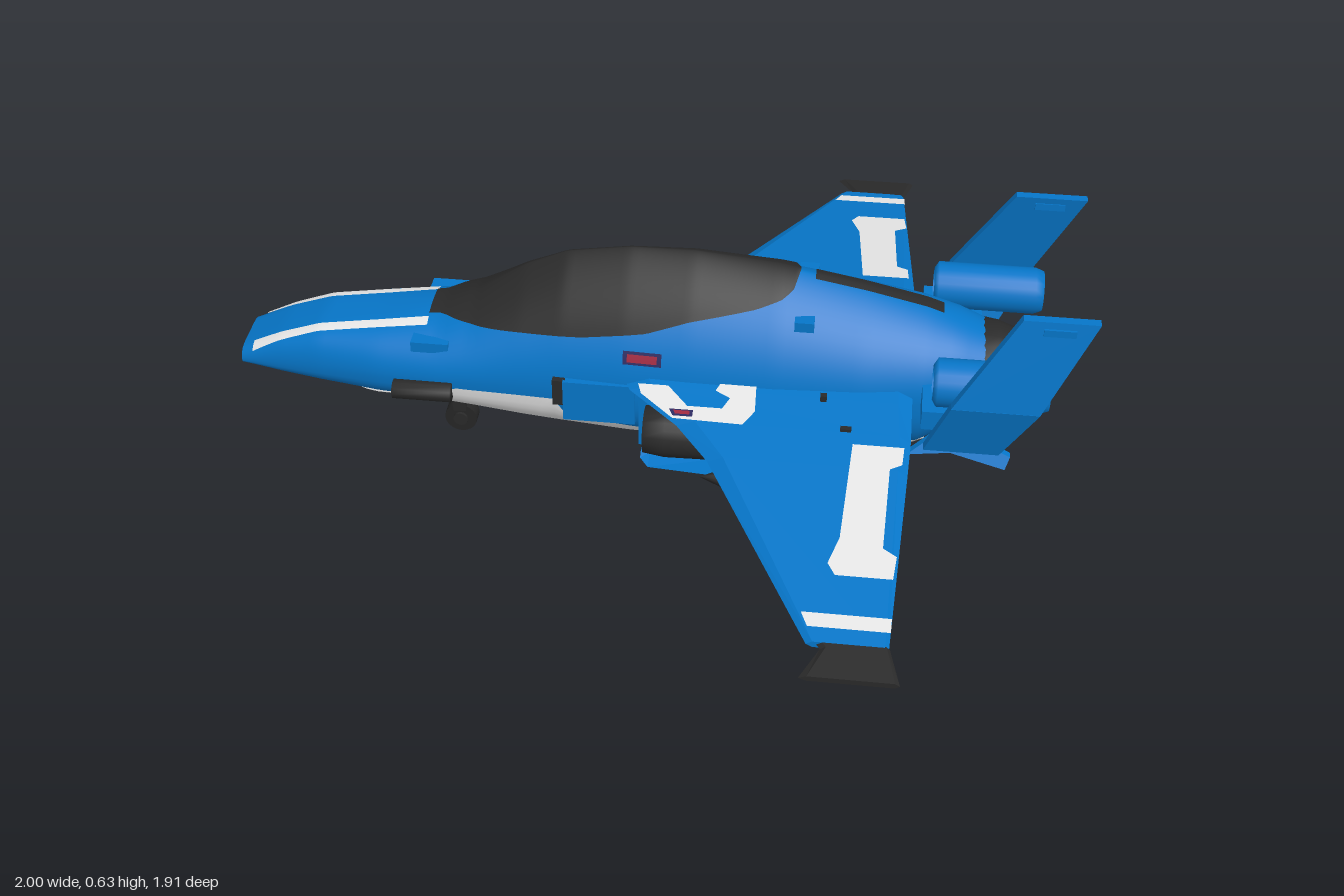
import * as THREE from 'three';

const mat = (name, color, side = THREE.FrontSide) => {
  const m = new THREE.MeshStandardMaterial({ color, side });
  m.name = name;
  return m;
};

// Hull stations: x, bottom y, widest y, top y, half width, upper roundness (below 1 boxy, above 1 peaked)
const HULL = [
  [-1, 0.2, 0.22, 0.25, 0.08, 0.35], [-0.9, 0.18, 0.23, 0.295, 0.1, 0.35], [-0.8, 0.168, 0.24, 0.33, 0.12, 0.45],
  [-0.65, 0.155, 0.25, 0.355, 0.145, 0.65], [-0.5, 0.152, 0.26, 0.385, 0.16, 1], [-0.42, 0.14, 0.265, 0.42, 0.165, 1.2],
  [-0.3, 0.12, 0.27, 0.5, 0.17, 1.6], [-0.2, 0.11, 0.27, 0.545, 0.175, 1.7], [-0.05, 0.1, 0.27, 0.568, 0.185, 1.7],
  [0.1, 0.096, 0.27, 0.57, 0.19, 1.6], [0.3, 0.096, 0.28, 0.55, 0.19, 1.5], [0.5, 0.1, 0.29, 0.51, 0.18, 1.4],
  [0.64, 0.11, 0.3, 0.475, 0.16, 1.2], [0.72, 0.16, 0.31, 0.445, 0.135, 1], [0.78, 0.2, 0.31, 0.42, 0.115, 1],
];
const FLAT = 0.75; // flattening of the underside
// Linear lookup in a table of rows starting with x
function lookup(table, x, c) {
  let i = 1;
  while (i < table.length - 1 && x > table[i][0]) i++;
  const a = table[i - 1], b = table[i];
  return THREE.MathUtils.lerp(a[c], b[c], THREE.MathUtils.clamp((x - a[0]) / (b[0] - a[0]), 0, 1));
}
const hull = (x, c) => lookup(HULL, x, c);
function hullPoint(x, a, off = 0) {
  const ym = hull(x, 2), s = Math.sin(a), c = Math.cos(a);
  const wide = Math.sign(c) * Math.abs(c) ** (s > 0 ? hull(x, 5) : 1.1);
  const y = s > 0 ? (hull(x, 3) - ym + off) * s : -(ym - hull(x, 1) + off) * (-s) ** FLAT;
  return [x, ym + y, (hull(x, 4) + off) * wide];
}
function angleAtY(x, y) {
  const ym = hull(x, 2);
  return y > ym ? Math.asin(Math.min(1, (y - ym) / (hull(x, 3) - ym)))
    : -Math.asin(Math.min(1, (ym - y) / (ym - hull(x, 1))) ** (1 / FLAT));
}
const angleAtZ = (x, z) => Math.acos(Math.min(1, z / hull(x, 4)) ** (1 / hull(x, 5)));

// Grid surface from fn(u, v)
function surface(nu, nv, fn) {
  const p = [], idx = [];
  for (let i = 0; i <= nu; i++) for (let j = 0; j <= nv; j++) p.push(...fn(i / nu, j / nv));
  for (let i = 0; i < nu; i++) for (let j = 0; j < nv; j++) {
    const a = i * (nv + 1) + j, b = a + nv + 1;
    idx.push(a, b, b + 1, a, b + 1, a + 1);
  }
  const g = new THREE.BufferGeometry();
  g.setAttribute('position', new THREE.Float32BufferAttribute(p, 3));
  g.setIndex(idx);
  g.computeVertexNormals();
  return g;
}
// Painted area lying on the hull between two angles
const patch = (x0, x1, lo, hi, off = 0.005, nu = 48, nv = 24) => surface(nu, nv, (u, v) => {
  const x = x0 + (x1 - x0) * u;
  return hullPoint(x, lo(x) + (hi(x) - lo(x)) * v, off);
});

// Reflected copy across z = 0 with corrected winding
function mirrored(geo) {
  const g = geo.index ? geo.toNonIndexed() : geo.clone();
  g.scale(1, 1, -1);
  for (const key of ['position', 'normal']) {
    const a = g.attributes[key].array;
    for (let i = 0; i < a.length; i += 9) for (let k = 0; k < 3; k++) {
      [a[i + 3 + k], a[i + 6 + k]] = [a[i + 6 + k], a[i + 3 + k]];
    }
  }
  return g;
}

// Wing: span position, leading edge, trailing edge; height and half thickness by rule
const WING = [[0.1, -0.08, 0.62], [0.2, -0.03, 0.62], [0.3, 0.09, 0.62], [0.4, 0.17, 0.615], [0.87, 0.42, 0.59]];
const wingY = z => 0.325 - (z - 0.1) * 0.145;
const wingT = z => 0.02 - (z - 0.1) * 0.016;
const sectionU = [0, 0.08, 0.95, 1, 0.95, 0.08, 0], sectionH = [0, 1, 1, 0, -1, -1, 0];
function wingLoft(rows) {
  const g = surface(rows.length + 1, 6, (u, v) => {
    const k = Math.round(u * (rows.length + 1)) - 1, end = k < 0 || k >= rows.length;
    const [z, a, b] = rows[THREE.MathUtils.clamp(k, 0, rows.length - 1)], j = Math.round(v * 6);
    return [a + (b - a) * (end ? 0.5 : sectionU[j]), wingY(z) + (end ? 0 : sectionH[j] * wingT(z)), z];
  }).toNonIndexed();
  g.computeVertexNormals();
  return g;
}
// Flat painted shape on the wing; side is +1 above and -1 below
function wingDecal(pts, side, lift = 0.003) {
  const g = new THREE.ShapeGeometry(new THREE.Shape(pts.map(p => new THREE.Vector2(...p))));
  const pos = g.attributes.position;
  for (let i = 0; i < pos.count; i++) {
    const z = pos.getY(i);
    pos.setXYZ(i, pos.getX(i), wingY(z) + side * (wingT(z) + lift), z);
  }
  if (side > 0) g.index.array.reverse();
  g.computeVertexNormals();
  return g;
}
const box = (x0, x1, y0, y1, z0, z1) =>
  new THREE.BoxGeometry(x1 - x0, y1 - y0, z1 - z0).translate((x0 + x1) / 2, (y0 + y1) / 2, (z0 + z1) / 2);
// Turned body along x from [x, radius] points
function turned(pts, y, z, n = 20) {
  return new THREE.LatheGeometry(pts.map(p => new THREE.Vector2(p[1], p[0])), n).rotateZ(-Math.PI / 2).translate(0, y, z);
}
// Plate in x-y, thick in z, moved sideways by a rule of height
function plate(pts, t, zAt) {
  const g = new THREE.ExtrudeGeometry(new THREE.Shape(pts.map(p => new THREE.Vector2(...p))), { depth: t, bevelEnabled: false });
  const p = g.attributes.position;
  for (let i = 0; i < p.count; i++) p.setZ(i, p.getZ(i) - t / 2 + zAt(p.getY(i)));
  g.computeVertexNormals();
  return g;
}

export function createModel() {
  const model = new THREE.Group();
  model.name = 'jetFighter';
  const blue = mat('hullBlue', 0x0676c9, THREE.DoubleSide), white = mat('paintWhite', 0xececec, THREE.DoubleSide);
  const dark = mat('darkGrey', 0x2a2a2a, THREE.DoubleSide), black = mat('gearBlack', 0x262626);
  const red = mat('markRed', 0xa02840, THREE.DoubleSide), navy = mat('markNavy', 0x2c2a60, THREE.DoubleSide);
  const glow = mat('exhaustBlue', 0x26394a, THREE.DoubleSide);
  const add = (name, geo, m) => {
    const mesh = new THREE.Mesh(geo, m);
    mesh.name = name;
    model.add(mesh);
  };
  const pair = (name, geo, m) => {
    add(name + 'Left', geo, m);
    add(name + 'Right', mirrored(geo), m);
  };

  // Fuselage with closed nose
  add('fuselage', patch(-1, 0.78, () => -Math.PI / 2, () => Math.PI * 1.5, 0, 89, 64), blue);
  add('noseCap', surface(1, 64, (u, v) => {
    const p = hullPoint(-1, v * Math.PI * 2);
    return [-1, 0.222 + (p[1] - 0.222) * u, p[2] * u];
  }), blue);

  // Canopy and hull paint
  const SILL = [[-0.53, 0.374], [-0.48, 0.382], [-0.4, 0.388], [-0.3, 0.398], [-0.15, 0.408], [0, 0.43], [0.1, 0.46], [0.25, 0.488], [0.31, 0.505], [0.335, 0.52], [0.345, 0.54]];
  const sill = x => angleAtY(x, lookup(SILL, x, 1));
  add('canopy', patch(-0.53, 0.345, sill, x => Math.PI - sill(x), 0.007, 70, 32), dark);
  const BELLY = [[-0.74, 0.17], [-0.62, 0.2], [-0.45, 0.25], [-0.21, 0.25], [-0.19, 0.2], [0, 0.18], [0.66, 0.17]];
  const belly = x => angleAtY(x, lookup(BELLY, x, 1));
  add('bellyPaint', patch(-0.74, 0.66, x => -Math.PI - belly(x), belly, 0.004), white);
  add('noseUnderside', patch(-0.93, -0.5, () => -Math.PI * 0.72, () => -Math.PI * 0.28, 0.006), dark);
  add('spinePanel', patch(0.38, 0.68, x => angleAtZ(x, 0.02), x => Math.PI - angleAtZ(x, 0.02), 0.006, 16, 4), dark);
  pair('noseStripe', patch(-0.97, -0.53, x => angleAtZ(x, 0.079), x => angleAtZ(x, 0.055), 0.003, 40, 8), white);
  pair('sideBadge', patch(-0.05, 0.04, x => angleAtY(x, 0.362), x => angleAtY(x, 0.392), 0.004, 6, 4), navy);
  pair('sideBadgeBar', patch(-0.04, 0.03, x => angleAtY(x, 0.368), x => angleAtY(x, 0.386), 0.007, 6, 4), red);

  // Rear nozzle
  add('nozzle', turned([[0.7, 0.1], [0.77, 0.118], [0.81, 0.112], [0.855, 0.096], [0.85, 0.09], [0.79, 0.095]], 0.305, 0, 24), dark);
  add('exhaustDisc', new THREE.CircleGeometry(0.093, 24).rotateY(Math.PI / 2).translate(0.835, 0.305, 0), glow);

  // Wings, tips and wing paint
  pair('wing', wingLoft(WING), blue);
  pair('wingTip', wingLoft([[0.868, 0.44, 0.592], [0.88, 0.45, 0.595], [0.955, 0.41, 0.615]]), dark);
  const mark = [[0.49, 0.335], [0.605, 0.335], [0.602, 0.385], [0.575, 0.4], [0.568, 0.62], [0.598, 0.64], [0.592, 0.7], [0.47, 0.7], [0.453, 0.67], [0.475, 0.6]];
  const band = [[0.405, 0.8], [0.593, 0.8], [0.592, 0.835], [0.42, 0.835]];
  const curl = [[-0.01, 0.2], [0.0, 0.23], [0.08, 0.298], [0.24, 0.302], [0.265, 0.26], [0.262, 0.18], [0.18, 0.18], [0.17, 0.205], [0.205, 0.225], [0.19, 0.258], [0.11, 0.258], [0.06, 0.2]];
  for (const side of [1, -1]) {
    pair('wingMark', wingDecal(mark, side), white);
    pair('wingBand', wingDecal(band, side), white);
  }
  pair('shoulderMark', wingDecal(curl, 1), white);
  pair('shoulderBadge', wingDecal([[0.07, 0.272], [0.125, 0.272], [0.125, 0.292], [0.08, 0.292]], 1, 0.005), navy);
  pair('shoulderBadgeBar', wingDecal([[0.08, 0.277], [0.118, 0.277], [0.118, 0.288], [0.085, 0.288]], 1, 0.007), red);
  pair('wingLampInner', box(0.41, 0.425, 0.32, 0.342, 0.198, 0.212), dark);
  pair('wingLampOuter', box(0.46, 0.485, 0.3, 0.32, 0.285, 0.298), dark);

  // Intakes, under-wing engines and lower trays
  pair('intakeCheek', box(-0.19, -0.02, 0.2, 0.31, 0.12, 0.19), blue);
  pair('intakeSlot', box(-0.215, -0.185, 0.24, 0.31, 0.14, 0.187), dark);
  pair('intakeBody', box(-0.01, 0.5, 0.15, 0.31, 0.12, 0.2), blue);
  pair('wingEngine', turned([[0.06, 0], [0.02, 0.045], [0.01, 0.055], [0.06, 0.062], [0.3, 0.058], [0.42, 0.04], [0.42, 0]], 0.235, 0.245), dark);
  const tray = surface(5, 4, (u, v) => {
    const k = Math.round(u * 5), j = Math.round(v * 4) % 4, x = [0, 0.02, 0.2, 0.33, 0.45, 0.45][k];
    const edge = [0.25, 0.27, 0.29, 0.385, 0.385, 0.3][k];
    const z = [0.18, 0.225, edge, 0.225][j], rise = (z - 0.225) * 0.25;
    return [x, k === 5 ? 0.14 : [0.165, 0.125, 0.13 + rise, 0.15][j] + (k ? 0 : 0.015), z];
  }).toNonIndexed();
  tray.computeVertexNormals();
  pair('lowerTray', tray, blue);

  // Missiles on pylons
  pair('missile', turned([[0.15, 0], [0.2, 0.02], [0.57, 0.02], [0.57, 0]], 0.21, 0.37, 12), black);
  pair('missilePylon', box(0.28, 0.5, 0.22, 0.285, 0.363, 0.377), blue);
  for (const x of [0.27, 0.5]) for (const a of [Math.PI / 4, -Math.PI / 4]) {
    pair('missileFin', new THREE.BoxGeometry(0.06, 0.1, 0.008).rotateX(a).translate(x + 0.03, 0.21, 0.37), black);
  }

  // Hollow tail pods, cranked tail fins and lower fins
  pair('tailPod', turned([[0.66, 0.04], [0.67, 0.056], [0.9, 0.056], [0.92, 0.048], [0.92, 0.036], [0.7, 0.036], [0.66, 0.04]], 0.395, 0.195), blue);
  pair('tailPodMount', box(0.64, 0.78, 0.3, 0.35, 0.09, 0.25), blue);
  pair('tailPodStrut', box(0.72, 0.86, 0.38, 0.405, 0.24, 0.285), blue);
  pair('tailFinLower', plate([[0.65, 0.25], [0.82, 0.25], [0.895, 0.4], [0.7, 0.4]], 0.024, y => 0.25 + (y - 0.25) * 0.25), blue);
  pair('tailFinUpper', plate([[0.7, 0.4], [0.895, 0.4], [1, 0.628], [0.835, 0.628]], 0.022, y => 0.2875 - (y - 0.4) * 0.16), blue);
  pair('finTipPanel', box(0.88, 0.95, 0.595, 0.612, 0.24, 0.27), blue);
  pair('lowerFin', plate([[0.62, 0.14], [0.7, 0.2], [0.78, 0.18], [0.86, 0.15], [0.85, 0.122], [0.72, 0.15]], 0.018, y => 0.11 + (0.2 - y) * 0.5), blue);

  // Nose cannons and small blisters
  pair('noseCannon', turned([[-0.6, 0], [-0.6, 0.024], [-0.46, 0.024], [-0.46, 0]], 0.24, 0.172, 10), dark);
  pair('noseBlister', box(-0.56, -0.47, 0.325, 0.352, 0.09, 0.135), blue);
  pair('sideBlister', box(0.34, 0.385, 0.455, 0.48, 0.08, 0.125), blue);

  // Landing gear: wheel, hub, fork and strut
  for (const [name, x, z, r, w] of [['noseGear', -0.48, 0, 0.04, 0.036], ['leftGear', 0.39, 0.165, 0.05, 0.036], ['rightGear', 0.39, -0.165, 0.05, 0.036]]) {
    add(name + 'Wheel', new THREE.CylinderGeometry(r, r, w, 20).rotateX(Math.PI / 2).translate(x, r, z), black);
    add(name + 'Hub', new THREE.CylinderGeometry(r * 0.45, r * 0.45, w + 0.014, 12).rotateX(Math.PI / 2).translate(x, r, z), dark);
    add(name + 'Fork', box(x - 0.016, x + 0.016, r * 1.7, r * 1.7 + 0.03, z - 0.026, z + 0.026), dark);
    add(name + 'Strut', new THREE.CylinderGeometry(0.013, 0.013, 0.11, 10).translate(x, 0.14, z), dark);
  }
  return model;
}
